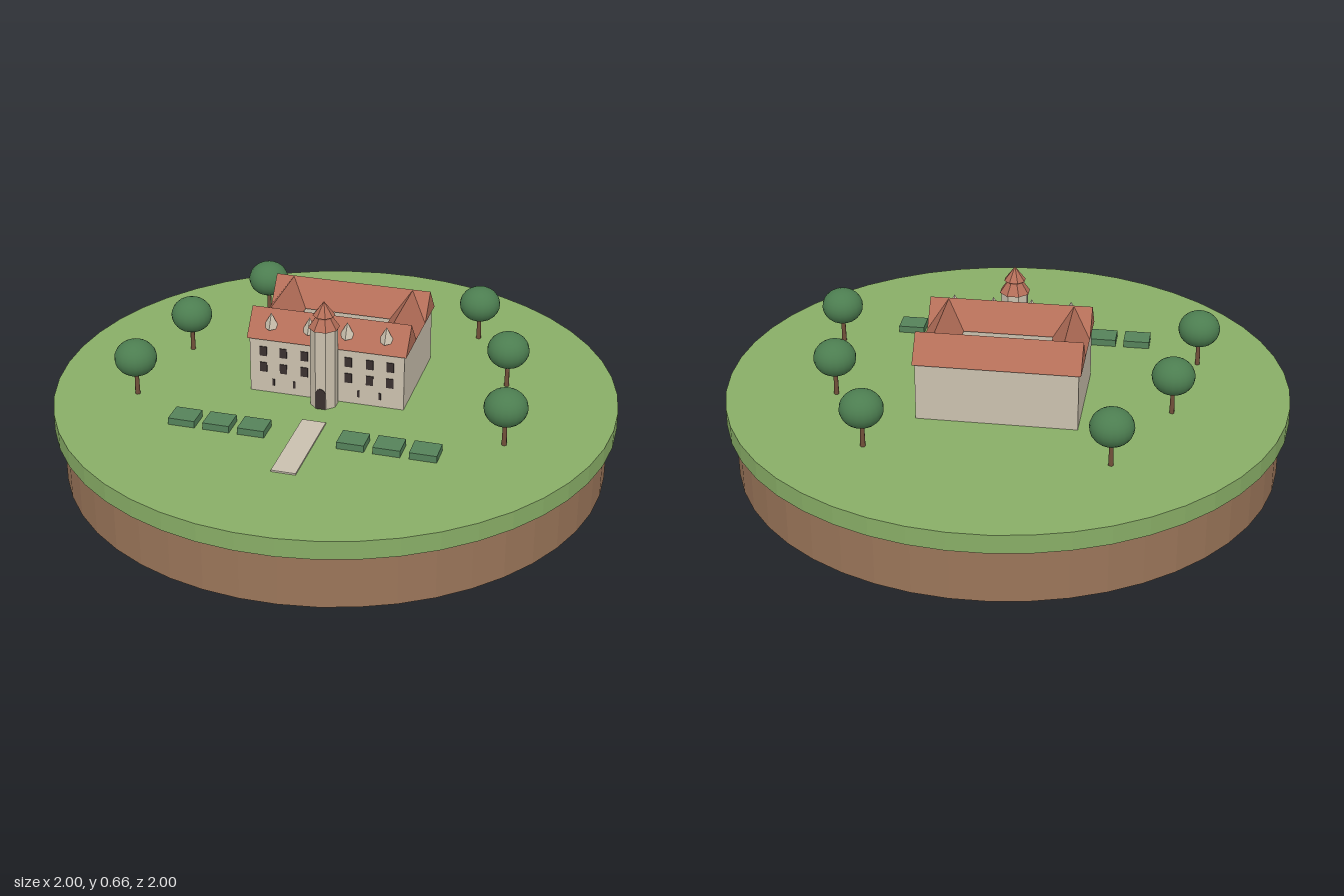
import * as THREE from 'three';

const mat = (name, color, extra = {}) => Object.assign(new THREE.MeshStandardMaterial({ color, ...extra }), { name });

export function createModel() {
  const grass = mat('grass', 0x88ad66, { flatShading: true });
  const earth = mat('earth', 0x9a7559, { flatShading: true });
  const wall = mat('plaster', 0xcbc1ae, { flatShading: true });
  const tile = mat('roofTile', 0xb56f59, { flatShading: true });
  const dark = mat('darkOpening', 0x3a302f);
  const hedgeGreen = mat('hedge', 0x55825a);
  const leaf = mat('foliage', 0x4c7d50);
  const bark = mat('bark', 0x72503a);
  const gravel = mat('gravel', 0xc9bfae);

  const model = new THREE.Group();
  model.name = 'castleIsland';
  const add = (parent, name, geo, material, x = 0, y = 0, z = 0) => {
    const m = new THREE.Mesh(geo, material);
    m.name = name;
    m.position.set(x, y, z);
    parent.add(m);
    return m;
  };
  const G = 0.267; // ground level

  // Round base
  add(model, 'earthBase', new THREE.CylinderGeometry(0.97, 0.97, 0.2, 48), earth, 0, 0.1, 0);
  add(model, 'grassDisc', new THREE.CylinderGeometry(1, 1, G - 0.2, 48), grass, 0, (G + 0.2) / 2, 0);

  // Trees
  const trees = [[-0.705, 0], [-0.51, -0.335], [-0.215, -0.635], [0.565, -0.35], [0.61, 0.035], [0.535, 0.45]];
  for (const [x, z] of trees) {
    const tree = new THREE.Group();
    tree.name = 'tree';
    tree.position.set(x, G, z);
    model.add(tree);
    add(tree, 'trunk', new THREE.CylinderGeometry(0.007, 0.009, 0.1, 8), bark, 0, 0.05, 0);
    add(tree, 'crown', new THREE.SphereGeometry(0.075, 20, 14), leaf, 0, 0.143, 0).scale.y = 0.87;
  }

  // Everything that follows the turned axis of the castle
  const castle = new THREE.Group();
  castle.name = 'castle';
  castle.position.set(0.03, 0, -0.1);
  castle.rotation.y = -THREE.MathUtils.degToRad(20);
  model.add(castle);

  // Garden
  add(castle, 'path', new THREE.BoxGeometry(0.085, 0.006, 0.352), gravel, 0.005, G + 0.003, 0.551);
  for (const s of [-1, 1]) for (const x of [0.175, 0.3, 0.425])
    add(castle, 'hedge', new THREE.BoxGeometry(0.095, 0.025, 0.085), hedgeGreen, s * x, G + 0.0125, 0.483);

  // Four wings around a courtyard, with gabled roofs
  const EAVE = 0.475, RIDGE = 0.567, W = 0.28, D = 0.206;
  const gable = (span, height, length) => {
    const s = new THREE.Shape([[-span / 2, 0], [span / 2, 0], [0, height]].map(p => new THREE.Vector2(...p)));
    return new THREE.ExtrudeGeometry(s, { depth: length, bevelEnabled: false }).translate(0, 0, -length / 2);
  };
  const longDepth = 0.13, sideDepth = 0.115, h = EAVE - G;
  for (const s of [-1, 1]) {
    const end = s > 0 ? 'front' : 'back', side = s > 0 ? 'left' : 'right';
    const z = s * (D - longDepth / 2), x = s * (W - sideDepth / 2);
    add(castle, end + 'Wing', new THREE.BoxGeometry(2 * W, h, longDepth), wall, 0, G + h / 2, z);
    add(castle, end + 'Roof', gable(longDepth + 0.016, RIDGE - EAVE, 2 * W + 0.016), tile, 0, EAVE, z)
      .rotation.y = Math.PI / 2;
    add(castle, side + 'Wing', new THREE.BoxGeometry(sideDepth, h, 2 * (D - longDepth)), wall, x, G + h / 2, 0);
    add(castle, side + 'Roof', gable(sideDepth + 0.015, RIDGE - EAVE - 0.002, 2 * D - longDepth - 0.004), tile, x, EAVE, 0);
  }

  // Arched opening: thin plate standing on its base
  const arch = (w, height) => {
    const r = w / 2, s = new THREE.Shape();
    s.moveTo(-r, 0);
    s.lineTo(r, 0);
    s.lineTo(r, height - r);
    s.absarc(0, height - r, r, 0, Math.PI, false);
    s.closePath();
    return new THREE.ExtrudeGeometry(s, { depth: 0.004, bevelEnabled: false, curveSegments: 6 });
  };

  // Front windows, low slits and roof dormers
  for (const s of [-1, 1]) {
    for (const x of [0.08, 0.157, 0.23]) for (const y of [0.427, 0.365])
      add(castle, 'window', new THREE.BoxGeometry(0.026, 0.036, 0.006), dark, s * x, y, D);
    for (const x of [0.117, 0.194])
      add(castle, 'slit', new THREE.BoxGeometry(0.008, 0.026, 0.006), dark, s * x, 0.308, D);
    for (const x of [0.068, 0.208])
      add(castle, 'dormer', new THREE.ConeGeometry(0.03, 0.056, 4), wall, s * x, 0.537, 0.176);
  }

  // Courtyard arcade
  const inner = D - longDepth;
  for (let i = -2; i <= 2; i++) for (const y of [G, 0.375])
    add(castle, 'courtyardArch', arch(0.036, 0.075), dark, i * 0.062, y, -inner);

  // Octagonal stair tower with a stepped spire
  const tower = new THREE.Group();
  tower.name = 'tower';
  tower.position.set(0, 0, 0.232);
  castle.add(tower);
  const turn = Math.PI / 8;
  add(tower, 'towerShaft', new THREE.CylinderGeometry(0.049, 0.049, 0.3, 8), wall, 0, G + 0.15, 0).rotation.y = turn;
  const spire = [[0, 0.564], [0.055, 0.566], [0.03, 0.602], [0.03, 0.61], [0.039, 0.611], [0, 0.662]];
  add(tower, 'spire', new THREE.LatheGeometry(spire.map(p => new THREE.Vector2(...p)), 8), tile).rotation.y = turn;
  add(tower, 'door', arch(0.036, 0.078), dark, 0, G, 0.0435);

  return model;
}
